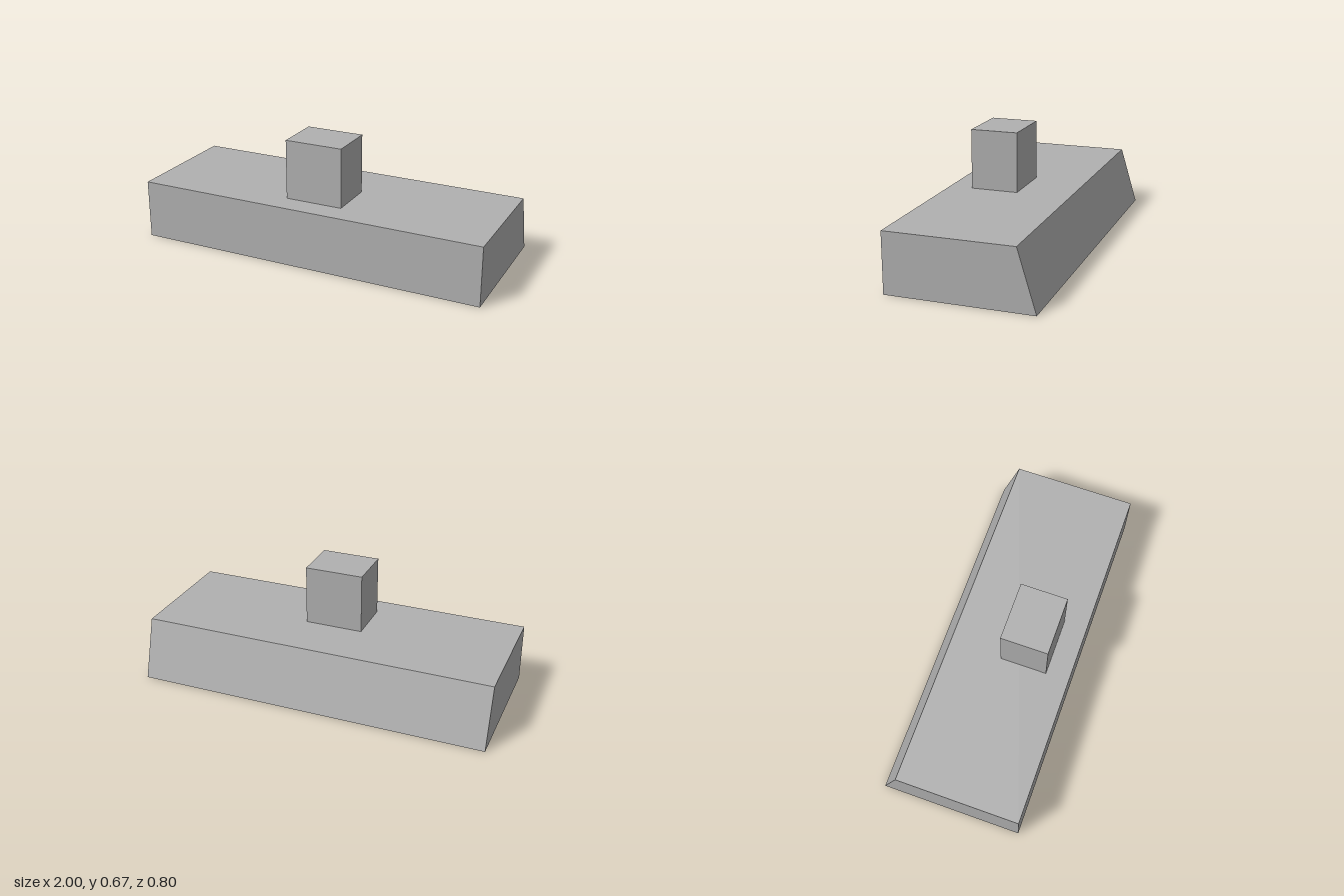
import * as THREE from 'three';

export function createModel() {
  const model = new THREE.Group();
  const grey = new THREE.MeshStandardMaterial({ color: 0xb0b0b0 });
  grey.name = 'grey';

  // Long base: side profile (z, y) with a sloping back, extruded along x
  const profile = new THREE.Shape([
    new THREE.Vector2(-0.4, 0),
    new THREE.Vector2(0.4, 0),
    new THREE.Vector2(0.4, 0.333),
    new THREE.Vector2(-0.3, 0.333),
  ]);
  const baseGeometry = new THREE.ExtrudeGeometry(profile, { depth: 2, bevelEnabled: false });
  baseGeometry.translate(0, 0, -1).rotateY(-Math.PI / 2);
  const base = new THREE.Mesh(baseGeometry, grey);
  base.name = 'base';
  model.add(base);

  // Block standing on the front half of the base
  const block = new THREE.Mesh(new THREE.BoxGeometry(0.329, 0.335, 0.266), grey);
  block.name = 'topBlock';
  block.position.set(-0.002, 0.333 + 0.335 / 2, 0.134);
  model.add(block);

  return model;
}
